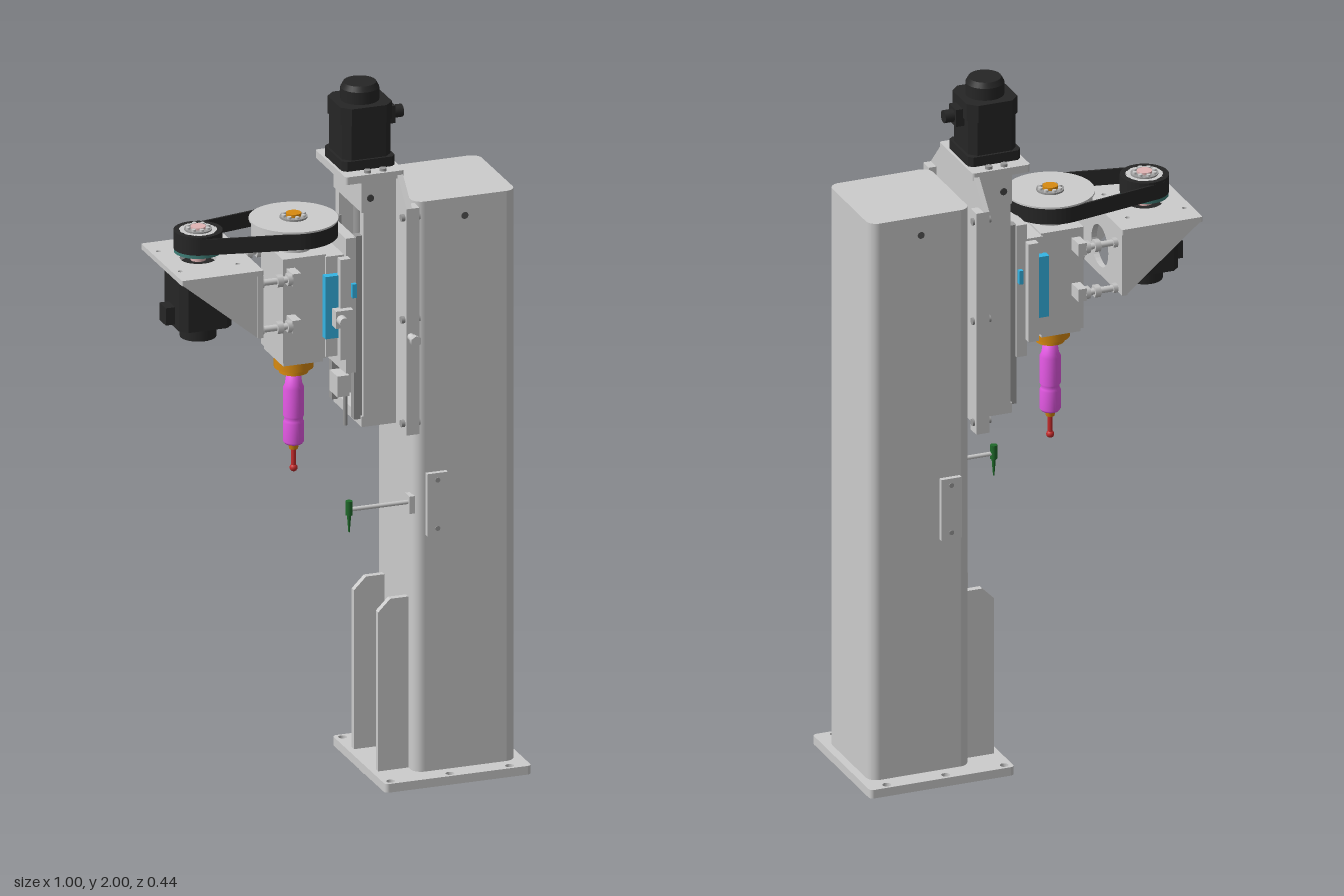
import * as THREE from 'three';

const mats = {};
const mat = (c) => (mats[c] ??= new THREE.MeshStandardMaterial({ color: c, side: THREE.DoubleSide }));
const GREY = 0xcccccc, BLACK = 0x262626, ORANGE = 0xd88a10, MAGENTA = 0xe85ae8, RED = 0xc42a2a;
const BLUE = 0x35b5e5, GREEN = 0x1f6a2a, PINK = 0xe0b4b4, STEEL = 0x9a9a9a;

export function createModel() {
  const model = new THREE.Group();
  const machine = new THREE.Group();
  machine.name = 'machine';
  machine.position.z = -0.013;
  model.add(machine);

  const add = (name, geo, color = GREY) => {
    const m = new THREE.Mesh(geo, mat(color));
    m.name = name;
    machine.add(m);
    return m;
  };
  // box given by its limits
  const box = (name, x0, x1, y0, y1, z0, z1, color) => {
    const m = add(name, new THREE.BoxGeometry(x1 - x0, y1 - y0, z1 - z0), color);
    m.position.set((x0 + x1) / 2, (y0 + y1) / 2, (z0 + z1) / 2);
    return m;
  };
  // vertical cylinder between two heights
  const cyl = (name, x, z, y0, y1, r, color, rBottom = r, sides = 32) => {
    const m = add(name, new THREE.CylinderGeometry(r, rBottom, y1 - y0, sides), color);
    m.position.set(x, (y0 + y1) / 2, z);
    return m;
  };
  // horizontal cylinders along x and z
  const cylX = (name, x0, x1, y, z, r, color, sides = 20) => {
    const m = cyl(name, 0, z, 0, x1 - x0, r, color, r, sides);
    m.rotation.z = Math.PI / 2;
    m.position.set((x0 + x1) / 2, y, z);
    return m;
  };
  const cylZ = (name, x, y, z0, z1, r, color, sides = 20) => {
    const m = cyl(name, x, 0, 0, z1 - z0, r, color, r, sides);
    m.rotation.x = Math.PI / 2;
    m.position.set(x, y, (z0 + z1) / 2);
    return m;
  };
  const poly = (pts) => new THREE.Shape(pts.map((p) => new THREE.Vector2(p[0], p[1])));
  const rounded = (x0, x1, z0, z1, r) => {
    const s = new THREE.Shape();
    s.absarc(x1 - r, z1 - r, r, 0, Math.PI / 2);
    s.absarc(x0 + r, z1 - r, r, Math.PI / 2, Math.PI);
    s.absarc(x0 + r, z0 + r, r, Math.PI, Math.PI * 1.5);
    s.absarc(x1 - r, z0 + r, r, Math.PI * 1.5, Math.PI * 2);
    return s;
  };
  const hole = (s, x, y, r) => s.holes.push(new THREE.Path().absarc(x, y, r, 0, Math.PI * 2, true));
  const extrude = (s, depth) => new THREE.ExtrudeGeometry(s, { depth, bevelEnabled: false, curveSegments: 16 });
  // plan outline (x, z) raised from y0 to y1
  const slab = (name, s, y0, y1, color) => {
    const m = add(name, extrude(s, y1 - y0), color);
    m.rotation.x = Math.PI / 2;
    m.position.y = y1;
    return m;
  };
  // side outline (z, y) extruded from x0 to x1
  const plateX = (name, s, x0, x1, color) => {
    const m = add(name, extrude(s, x1 - x0), color);
    m.rotation.y = -Math.PI / 2;
    m.position.x = x1;
    return m;
  };
  // front outline (x, y) extruded from z0 to z1
  const plateZ = (name, s, z0, z1, color) => {
    const m = add(name, extrude(s, z1 - z0), color);
    m.position.z = z0;
    return m;
  };

  // base and column
  const base = rounded(0.072, 0.497, -0.205, 0.205, 0.012);
  for (const x of [0.095, 0.267, 0.44]) for (const z of [-0.185, 0.185]) hole(base, x, z, 0.012);
  hole(base, 0.32, 0, 0.05);
  slab('basePlate', base, 0.01, 0.035);
  box('baseKey', 0.08, 0.27, 0, 0.01, -0.02, 0.02);
  box('baseKey', 0.37, 0.46, 0, 0.01, -0.02, 0.02);
  slab('column', rounded(0.178, 0.474, -0.148, 0.148, 0.03), 0.035, 1.685);
  cylZ('columnPlug', 0.324, 1.63, -0.1495, 0.1495, 0.01, 0x555555);
  for (const s of [-1, 1]) {
    const z = s * 0.093;
    plateZ('columnGusset', poly([[0.09, 0.035], [0.18, 0.035], [0.18, 0.53], [0.125, 0.53], [0.09, 0.495]]), z - 0.009, z + 0.009);
    box('columnSidePlate', 0.21, 0.27, 0.72, 0.9, s * 0.154 - 0.008, s * 0.154 + 0.008);
    for (const y of [0.74, 0.88]) cylZ('sidePlateScrew', 0.24, y, s * 0.161 - 0.003, s * 0.161 + 0.003, 0.007, STEEL);
  }

  // probe arm
  box('probeBracket', 0.165, 0.18, 0.785, 0.835, 0.11, 0.145);
  cylX('probeArm', -0.005, 0.17, 0.815, 0.13, 0.006);
  cyl('probeBody', -0.005, 0.13, 0.8, 0.84, 0.01, GREEN);
  cyl('probeTip', -0.005, 0.13, 0.75, 0.8, 0.006, GREEN, 0.002);

  // slide mounting plate with wings
  plateX('slideMountPlate', poly([[-0.188, 1.03], [0.188, 1.03], [0.188, 1.685], [0.113, 1.765], [-0.113, 1.765], [-0.188, 1.685]]), 0.14, 0.156);
  for (const s of [-1, 1]) {
    box('mountWing', 0.156, 0.178, 1.03, 1.685, s * 0.168 - 0.02, s * 0.168 + 0.02);
    for (const y of [1.06, 1.36, 1.655]) {
      cylX('wingBolt', 0.13, 0.184, y, s * 0.17, 0.01, STEEL);
    }
  }
  cylZ('clampStem', 0.152, 1.315, 0.18, 0.215, 0.01);
  cylZ('clampNut', 0.152, 1.315, 0.215, 0.232, 0.016, GREY, 6);

  // linear slide with screw
  box('slideBack', 0.105, 0.14, 1.04, 1.75, -0.108, 0.108);
  for (const s of [-1, 1]) {
    box('slideSide', 0.045, 0.105, 1.04, 1.75, s * 0.094 - 0.014, s * 0.094 + 0.014);
    box('slideRail', 0.022, 0.05, 1.06, 1.59, s * 0.085 - 0.012, s * 0.085 + 0.012, STEEL);
    cylZ('slidePort', 0.065, 1.7, s * 0.109 - 0.002, s * 0.109 + 0.002, 0.01, 0x444444);
  }
  box('slideFoot', 0.04, 0.14, 1.04, 1.07, -0.108, 0.108);
  box('slideHead', 0.04, 0.14, 1.66, 1.755, -0.108, 0.108);
  cyl('slideScrew', 0.075, 0, 1.07, 1.66, 0.018, STEEL);
  slab('motorFlange', rounded(-0.01, 0.16, -0.118, 0.118, 0.008), 1.75, 1.772);
  for (const x of [0.06, 0.105]) for (const z of [-0.1, 0.1]) cyl('flangeBolt', x, z, 1.772, 1.78, 0.01, STEEL);

  // lift motor
  const motorOutline = (cx, h, c) => poly([[cx - h, -h + c], [cx - h + c, -h], [cx + h - c, -h], [cx + h, -h + c],
    [cx + h, h - c], [cx + h - c, h], [cx - h + c, h], [cx - h, h - c]]);
  slab('liftMotorFlange', motorOutline(0.075, 0.077, 0.012), 1.772, 1.8, BLACK);
  slab('liftMotorBody', motorOutline(0.075, 0.07, 0.02), 1.8, 1.9, BLACK);
  slab('liftMotorCover', motorOutline(0.075, 0.075, 0.025), 1.9, 1.95, BLACK);
  cyl('liftMotorCap', 0.075, 0, 1.95, 1.985, 0.053, BLACK);
  cyl('liftMotorCapTop', 0.075, 0, 1.985, 2, 0.045, BLACK, 0.053);
  box('liftMotorSocket', 0.14, 0.17, 1.875, 1.925, -0.025, 0.025, BLACK);
  cylX('liftMotorPlug', 0.17, 0.197, 1.9, 0, 0.018, BLACK);

  // carriage
  box('carriagePlate', -0.005, 0.025, 1.2, 1.59, -0.105, 0.105);
  box('carriageBlock', -0.058, -0.005, 1.25, 1.54, -0.092, 0.092);
  box('cableTab', -0.035, 0, 1.14, 1.2, 0.06, 0.12);
  cyl('sensorRod', -0.005, 0.1, 1.05, 1.15, 0.006, STEEL);
  for (const s of [-1, 1]) {
    box('carriageClamp', -0.067, -0.02, 1.31, 1.49, s * 0.102 - 0.012, s * 0.102 + 0.012, BLUE);
    box('carriageRib', -0.03, 0, 1.25, 1.54, s * 0.118 - 0.012, s * 0.118 + 0.012);
    box('railWiper', 0.01, 0.022, 1.42, 1.46, s * 0.11 - 0.008, s * 0.11 + 0.008, BLUE);
  }
  box('lockBlock', -0.05, 0, 1.35, 1.4, 0.12, 0.15);
  cylZ('lockKnob', -0.035, 1.375, 0.15, 0.178, 0.014);

  // spindle
  const SX = -0.117;
  box('spindleHousing', -0.18, -0.055, 1.245, 1.545, -0.085, 0.085);
  box('spindleFoot', -0.175, -0.06, 1.232, 1.245, -0.075, 0.075);
  cyl('spindleCap', SX, 0, 1.545, 1.56, 0.05);
  cyl('spindleCollar', SX, 0, 1.2, 1.233, 0.054, ORANGE);
  cyl('spindleNut', SX, 0, 1.185, 1.2, 0.04, ORANGE);
  const chuck = [[0, 1.19], [0.018, 1.19], [0.024, 1.15], [0.029, 1.14], [0.029, 1.06], [0.026, 1.055], [0.026, 1.045],
    [0.029, 1.04], [0.029, 0.985], [0.024, 0.978], [0, 0.978]].map((p) => new THREE.Vector2(...p)).reverse();
  add('toolHolder', new THREE.LatheGeometry(chuck, 32), MAGENTA).position.x = SX;
  cyl('toolCollet', SX, 0, 0.962, 0.98, 0.016, ORANGE, 0.012);
  cyl('toolShank', SX, 0, 0.91, 0.965, 0.007, RED);
  const tip = add('toolTip', new THREE.SphereGeometry(0.011, 20, 14), RED);
  tip.position.set(SX, 0.907, 0);

  // pulleys and belt
  const MX = -0.394, R1 = 0.119, R2 = 0.065;
  cyl('largePulley', SX, 0, 1.577, 1.63, 0.115, GREY, 0.115, 64);
  cyl('largePulleyFlange', SX, 0, 1.626, 1.631, 0.122, GREY, 0.122, 64);
  cyl('largePulleyShaft', SX, 0, 1.555, 1.645, 0.021, ORANGE);
  cyl('smallPulley', MX, 0, 1.575, 1.632, 0.052);
  cyl('smallPulleyFlange', MX, 0, 1.57, 1.58, 0.066, 0x3f7f78);
  cyl('motorShaft', MX, 0, 1.545, 1.642, 0.021, PINK);
  for (const x of [SX, MX]) {
    cyl('lockingHub', x, 0, 1.63, 1.636, 0.038, STEEL);
    for (let i = 0; i < 8; i++) {
      const a = (i * Math.PI) / 4;
      cyl('hubBolt', x + 0.029 * Math.cos(a), 0.029 * Math.sin(a), 1.636, 1.642, 0.006, GREY, 0.006, 10);
    }
  }
  const th = Math.acos((R1 - R2) / (SX - MX));
  const beltPath = (P, d) => {
    const s = new P();
    s.absarc(SX, 0, R1 + d, th - Math.PI, Math.PI - th);
    s.absarc(MX, 0, R2 + d, Math.PI - th, Math.PI + th);
    s.closePath();
    return s;
  };
  const belt = beltPath(THREE.Shape, 0.002);
  belt.holes.push(beltPath(THREE.Path, -0.004));
  slab('driveBelt', belt, 1.58, 1.625, BLACK);
  const ring = new THREE.Shape().absarc(MX, 0, 0.067, 0, Math.PI * 2);
  hole(ring, MX, 0, 0.05);
  slab('smallPulleyRim', ring, 1.58, 1.632, BLACK);

  // spindle motor bracket
  const top = rounded(-0.5, -0.263, -0.158, 0.158, 0.004);
  hole(top, MX, 0, 0.05);
  for (const x of [-0.477, -0.31]) for (const z of [-0.084, 0.084]) hole(top, x, z, 0.007);
  slab('bracketTop', top, 1.535, 1.55);
  const end = poly([[-0.158, 1.355], [0.158, 1.355], [0.158, 1.535], [-0.158, 1.535]]);
  hole(end, 0, 1.44, 0.06);
  plateX('bracketEnd', end, -0.279, -0.263);
  for (const z of [-0.152, 0.138]) {
    plateZ('bracketGusset', poly([[-0.497, 1.535], [-0.279, 1.355], [-0.265, 1.355], [-0.265, 1.535]]), z, z + 0.014);
  }

  // spindle motor
  slab('spindleMotorFlange', motorOutline(MX, 0.08, 0.012), 1.51, 1.535, BLACK);
  slab('spindleMotorBody', motorOutline(MX, 0.076, 0.02), 1.365, 1.51, BLACK);
  cyl('spindleMotorCap', MX, 0, 1.325, 1.365, 0.05, BLACK);
  box('spindleMotorSocket', -0.497, -0.465, 1.375, 1.425, -0.025, 0.025, BLACK);

  // belt tension rods
  for (const s of [-1, 1]) for (const y of [1.5, 1.365]) {
    const z = s * 0.12;
    cylX('tensionRod', -0.267, -0.15, y, z, 0.009);
    cylX('rodNut', -0.212, -0.195, y, z, 0.018, GREY, 6);
    cylX('rodNut', -0.182, -0.168, y, z, 0.018, GREY, 6);
    cylX('rodNut', -0.263, -0.25, y, z, 0.014, GREY, 6);
    box('rodLug', -0.17, -0.145, y - 0.018, y + 0.018, s * 0.108 - 0.025, s * 0.108 + 0.025);
  }
  return model;
}
